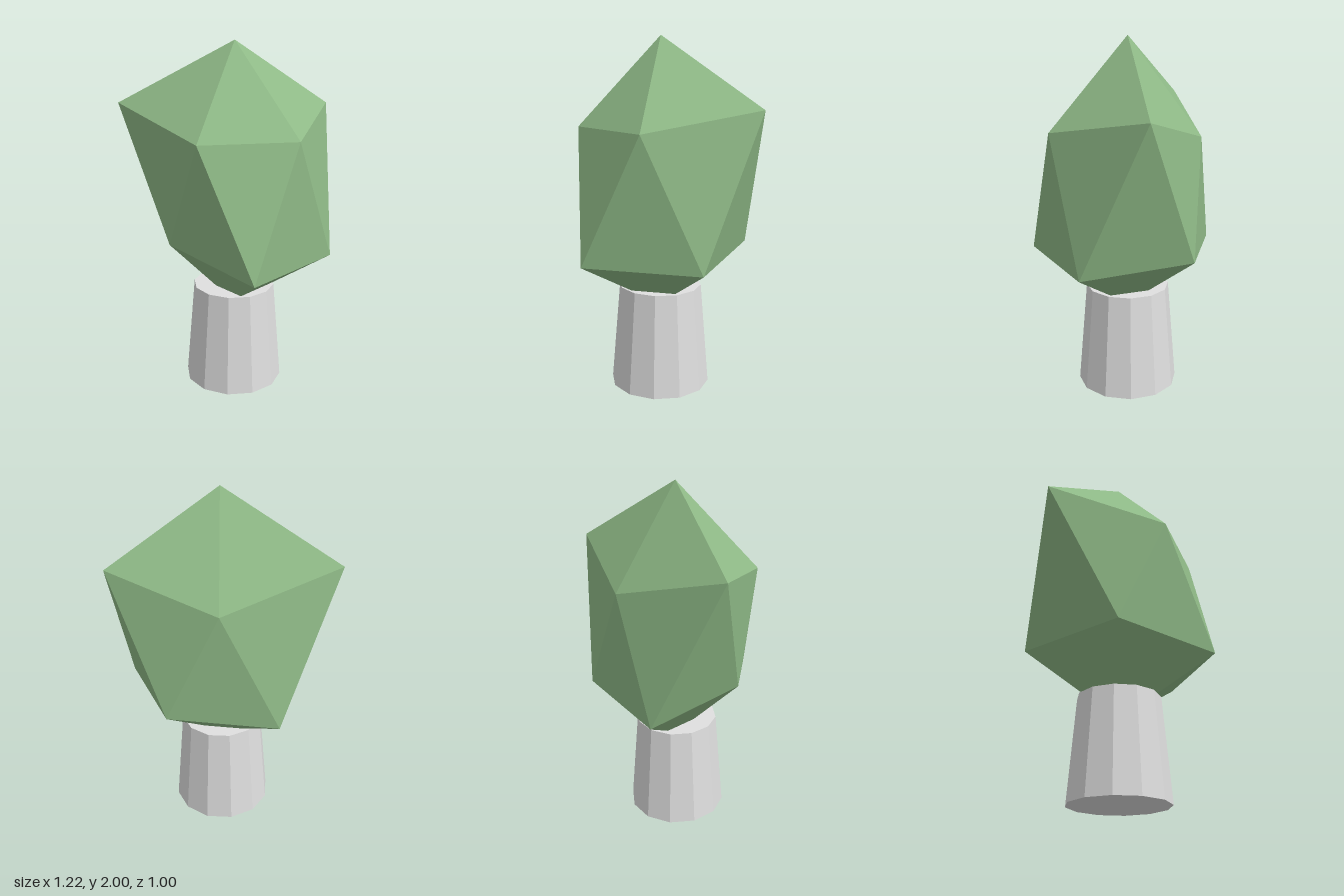
import * as THREE from 'three';

const CENTRE_X = 0.05, CENTRE_Z = -0.03;

// Faceted crown: two staggered rings of five corners between two tips
function crownGeometry() {
  const ring = (start, corners) => corners.map(([radius, y], i) => {
    const a = THREE.MathUtils.degToRad(start + 72 * i);
    return [radius * Math.cos(a), y, radius * Math.sin(a)];
  });
  const upper = ring(36, [[0.466, 1.51], [0.455, 1.51], [0.66, 1.65], [0.405, 1.465], [0.62, 1.62]]);
  const lower = ring(0, [[0.56, 0.795], [0.557, 0.795], [0.41, 0.9], [0.544, 0.81], [0.493, 0.84]]);
  const top = [0, 2, 0], bottom = [0, 0.47, 0];
  const points = [];
  for (let i = 0; i < 5; i++) {
    const j = (i + 1) % 5;
    points.push(
      ...top, ...upper[j], ...upper[i],
      ...upper[i], ...upper[j], ...lower[j],
      ...upper[i], ...lower[j], ...lower[i],
      ...bottom, ...lower[i], ...lower[j],
    );
  }
  const geometry = new THREE.BufferGeometry();
  geometry.setAttribute('position', new THREE.Float32BufferAttribute(points, 3));
  geometry.computeVertexNormals();
  return geometry;
}

export function createModel() {
  const leafGreen = new THREE.MeshStandardMaterial({ color: 0x8fba87, flatShading: true });
  leafGreen.name = 'leafGreen';
  const paleGrey = new THREE.MeshStandardMaterial({ color: 0xdfdfdf, flatShading: true });
  paleGrey.name = 'paleGrey';

  const tree = new THREE.Group();
  tree.name = 'tree';

  // Tapered twelve-sided trunk
  const trunk = new THREE.Mesh(new THREE.CylinderGeometry(0.237, 0.287, 0.595, 12), paleGrey);
  trunk.name = 'trunk';
  trunk.position.set(CENTRE_X, 0.2975, CENTRE_Z);

  const crown = new THREE.Mesh(crownGeometry(), leafGreen);
  crown.name = 'crown';
  crown.position.set(CENTRE_X, 0, CENTRE_Z);

  tree.add(trunk, crown);
  return tree;
}
